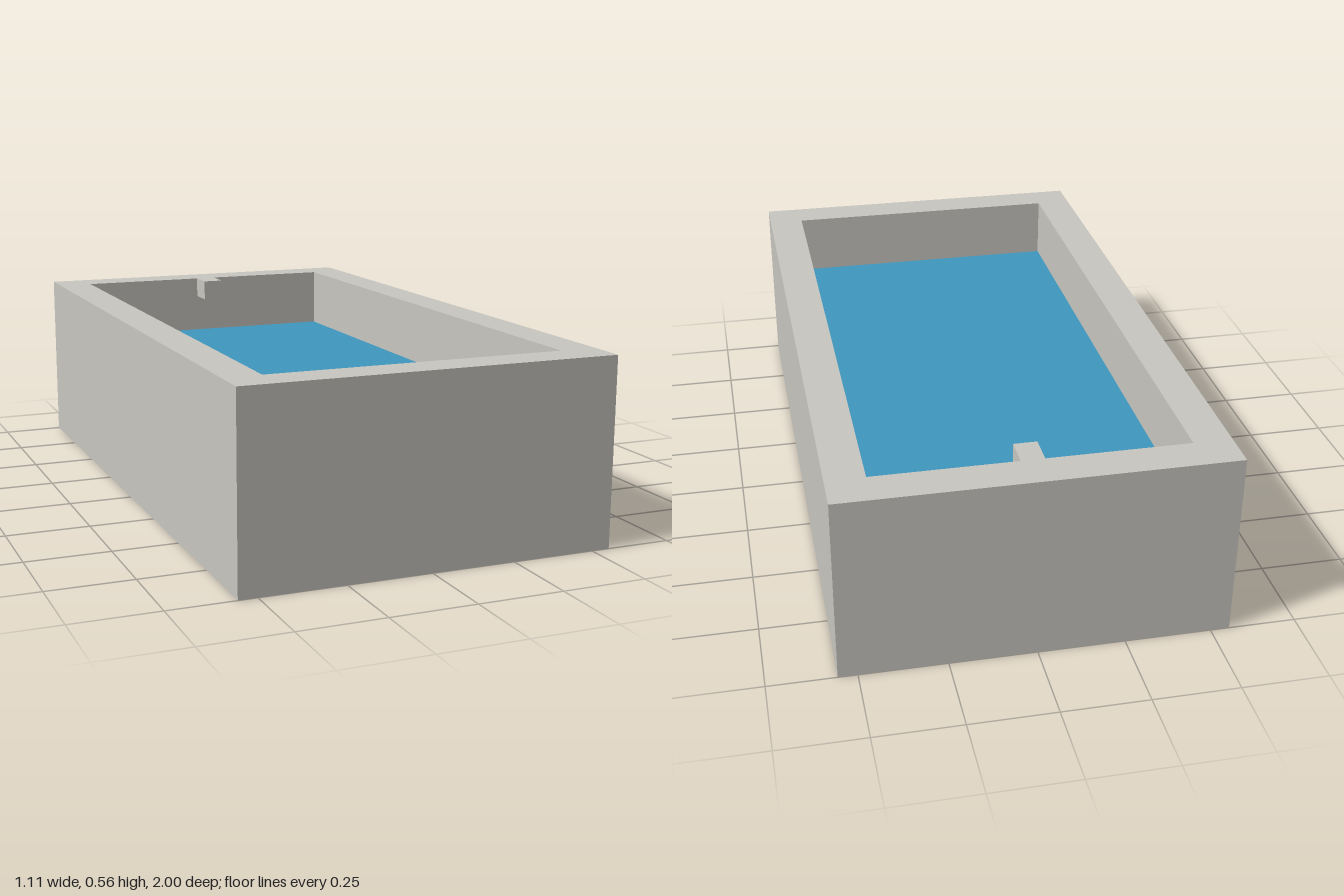
import * as THREE from 'three';

const W = 1.11, L = 2, H = 0.556;   // outer size
const WALL = 0.111;                 // wall thickness
const FLOOR = 0.11, WATER = 0.362;  // floor top and water level

export function createModel() {
  const stone = new THREE.MeshStandardMaterial({ color: 0xc9c7c0 });
  stone.name = 'stone';
  const blue = new THREE.MeshStandardMaterial({ color: 0x3f97bf });
  blue.name = 'water';

  const group = new THREE.Group();
  group.name = 'waterTrough';

  const add = (name, geometry, material) => {
    const mesh = new THREE.Mesh(geometry, material);
    mesh.name = name;
    group.add(mesh);
    return mesh;
  };

  const rectangle = (target, w, l) => {
    target.moveTo(-w / 2, -l / 2);
    target.lineTo(w / 2, -l / 2);
    target.lineTo(w / 2, l / 2);
    target.lineTo(-w / 2, l / 2);
    target.closePath();
    return target;
  };

  // Walls: one rectangular ring, so the rim and corners have no seams
  const innerW = W - 2 * WALL, innerL = L - 2 * WALL;
  const ring = rectangle(new THREE.Shape(), W, L);
  ring.holes.push(rectangle(new THREE.Path(), innerW, innerL));
  const walls = new THREE.ExtrudeGeometry(ring, { depth: H, bevelEnabled: false });
  walls.rotateX(-Math.PI / 2);
  add('walls', walls, stone);

  // Floor closing the underside
  add('floor', new THREE.BoxGeometry(innerW, FLOOR, innerL), stone).position.y = FLOOR / 2;

  // Water filling the basin part way
  const water = add('water', new THREE.BoxGeometry(innerW, WATER - FLOOR, innerL), blue);
  water.position.y = (WATER + FLOOR) / 2;

  // Small spout on the back wall, flush with the rim
  const spoutH = 0.067, spoutL = 0.089;
  const spout = add('spout', new THREE.BoxGeometry(0.067, spoutH, spoutL), stone);
  spout.position.set(0, H - spoutH / 2, -innerL / 2 + spoutL / 2);

  return group;
}
